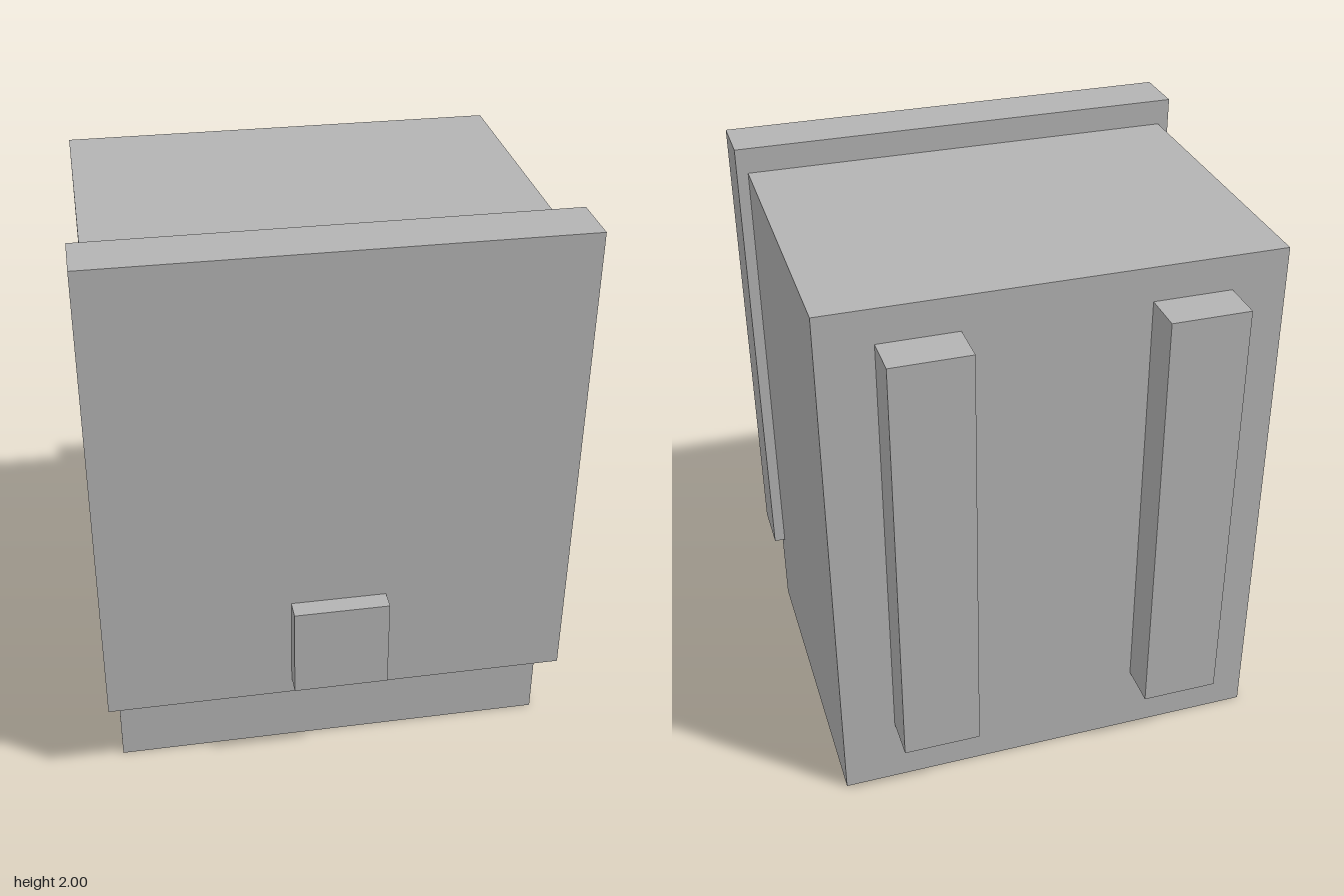
import * as THREE from 'three';

const grey = new THREE.MeshStandardMaterial({ color: 0xb3b3b3 });
grey.name = 'plain grey';

// Box given by its extents on each axis
function block(name, [x0, x1], [y0, y1], [z0, z1]) {
  const mesh = new THREE.Mesh(new THREE.BoxGeometry(x1 - x0, y1 - y0, z1 - z0), grey);
  mesh.position.set((x0 + x1) / 2, (y0 + y1) / 2, (z0 + z1) / 2);
  mesh.name = name;
  return mesh;
}

export function createModel() {
  const model = new THREE.Group();
  model.name = 'backpack';

  // Main compartment, overhanging front flap and its clasp
  model.add(
    block('body', [-0.764, 0.764], [0, 1.91], [-0.597, 0.55]),
    block('frontFlap', [-0.803, 0.803], [0.32, 2], [0.485, 0.677]),
    block('clasp', [-0.163, 0.163], [0.38, 0.71], [0.677, 0.744])
  );

  // Pair of shoulder straps on the back
  for (const [name, side] of [['leftStrap', 1], ['rightStrap', -1]]) {
    const inner = 0.31 * side, outer = 0.578 * side;
    model.add(block(name, [Math.min(inner, outer), Math.max(inner, outer)], [0.25, 1.79], [-0.744, -0.597]));
  }
  return model;
}
